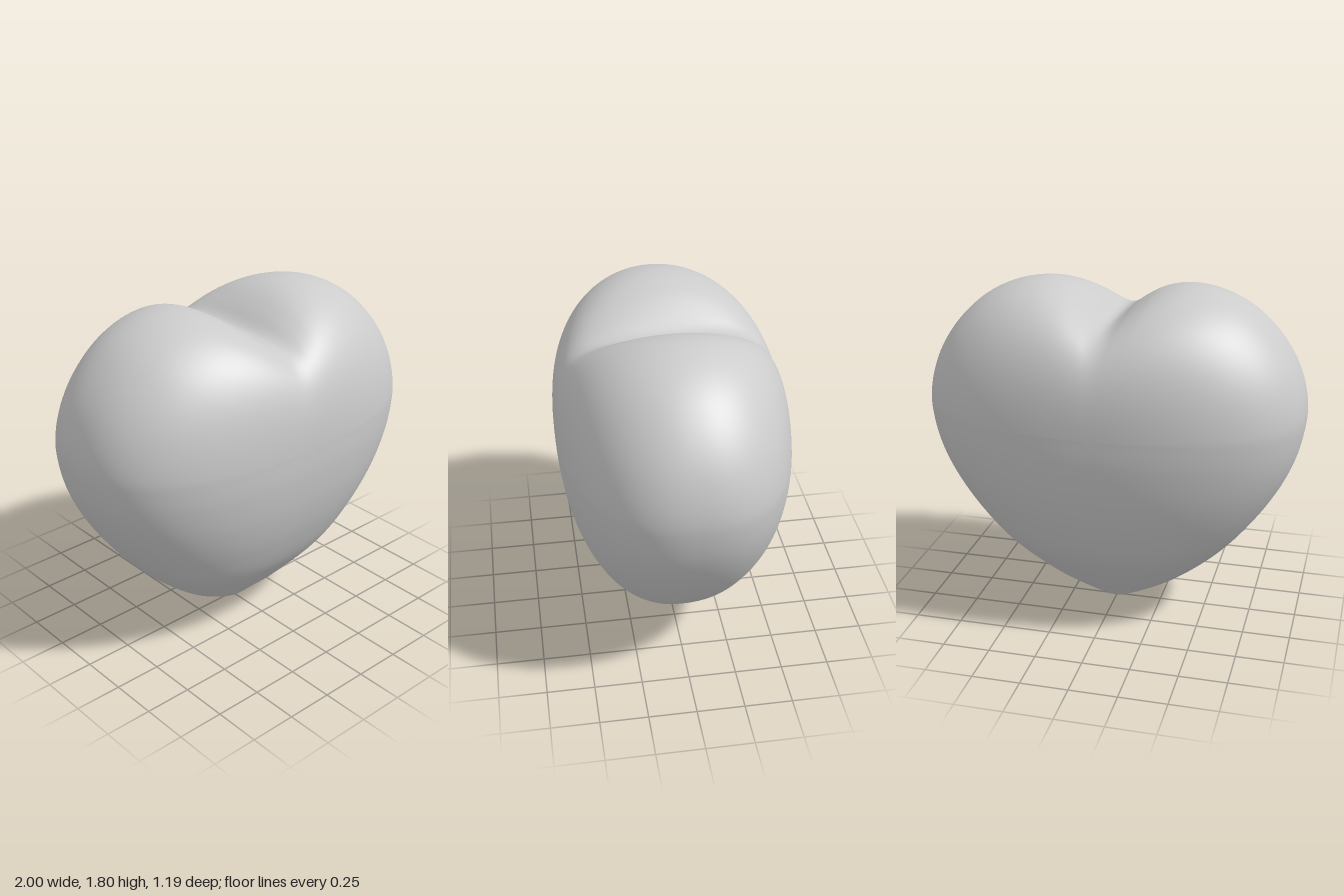
import * as THREE from 'three';

const CENTRE_Y = 1.15;
const HALF_DEPTH = 0.597;
const POWER = 2.4;
const AROUND = 240;
const RINGS = 96;

// Right half of the front outline, from the notch round to the tip
const frontHalf = [
  [0, 1.63], [0.04, 1.645], [0.12, 1.708], [0.23, 1.772], [0.365, 1.802], [0.53, 1.782],
  [0.69, 1.71], [0.82, 1.598], [0.92, 1.46], [0.977, 1.32], [0.999, 1.19], [0.992, 1.08],
  [0.96, 0.94], [0.89, 0.78], [0.77, 0.592], [0.61, 0.4], [0.385, 0.202], [0.2, 0.085],
  [0.05, 0.015], [0, 0],
];

// Half depth against height, from the tip up to the thickest level
const sideHalf = [
  [0, 0], [0.05, 0.02], [0.135, 0.1], [0.235, 0.2], [0.4, 0.4], [0.497, 0.6],
  [0.558, 0.8], [0.59, 1], [HALF_DEPTH, CENTRE_Y],
];

function outlinePoints() {
  const mirrored = frontHalf.slice(1, -1).reverse().map(([x, y]) => [-x, y]);
  const pts = [...frontHalf, ...mirrored].map(([x, y]) => new THREE.Vector3(x, y - CENTRE_Y, 0));
  const curve = new THREE.CatmullRomCurve3(pts, true, 'centripetal');
  curve.arcLengthDivisions = 1200;
  return curve.getSpacedPoints(AROUND).slice(0, AROUND);
}

// Distance from the axis at height y, for points listed upwards from the tip
function widthAt(points, y) {
  const i = Math.max(1, points.findIndex((p) => p.y >= y));
  const a = points[i - 1], b = points[i];
  const f = THREE.MathUtils.clamp((y - a.y) / (b.y - a.y), 0, 1);
  return Math.abs(THREE.MathUtils.lerp(a.x, b.x, f));
}

// Nested loops run from the front pole to the back pole
function heartGeometry() {
  const outline = outlinePoints();
  const rightSide = outline.slice(0, AROUND / 2 + 1).reverse();
  const depthCurve = new THREE.SplineCurve(sideHalf.map(([z, y]) => new THREE.Vector2(z, y - CENTRE_Y)));
  const depths = depthCurve.getPoints(160);

  // Lower part: rounded level sections tapering to the tip
  const lowerPoint = (p, t) => {
    const x = p.x * t, y = p.y * t;
    const q = Math.min(1, Math.abs(x) / Math.max(1e-6, widthAt(rightSide, y)));
    return [x, y, widthAt(depths, y) * Math.pow(1 - Math.pow(q, POWER), 1 / POWER)];
  };

  // Upper part: two lobes, with the notch fading out towards the front and back
  const upperPoint = (p, t) => {
    const r = p.length();
    const s = p.y / r;
    const smoothR = 1 - 0.05 * s - 0.23 * s * s;
    const k = (t * THREE.MathUtils.lerp(smoothR, r, t * t)) / r;
    return [p.x * k, p.y * k, HALF_DEPTH * Math.pow(1 - Math.pow(t, POWER), 1 / POWER + 0.1 * s)];
  };

  const positions = [];
  const index = [];
  for (let j = 0; j <= RINGS; j++) {
    const phi = (j / RINGS) * Math.PI;
    const t = Math.min(1, Math.sin(phi));
    const side = j === RINGS / 2 ? 0 : Math.sign(Math.cos(phi));
    for (const p of outline) {
      const [x, y, z] = p.y < 0 ? lowerPoint(p, t) : upperPoint(p, t);
      positions.push(x, y + CENTRE_Y, side * z);
    }
  }
  for (let j = 0; j < RINGS; j++) {
    for (let i = 0; i < AROUND; i++) {
      const n = (i + 1) % AROUND;
      const a = j * AROUND + i, b = j * AROUND + n;
      const c = a + AROUND, d = b + AROUND;
      if (j > 0) index.push(a, b, d);
      if (j < RINGS - 1) index.push(a, d, c);
    }
  }
  const geometry = new THREE.BufferGeometry();
  geometry.setAttribute('position', new THREE.Float32BufferAttribute(positions, 3));
  geometry.setIndex(index);
  geometry.computeVertexNormals();
  // Both poles face straight out
  const normal = geometry.attributes.normal;
  for (let i = 0; i < AROUND; i++) {
    normal.setXYZ(i, 0, 0, 1);
    normal.setXYZ(RINGS * AROUND + i, 0, 0, -1);
  }
  return geometry;
}

export function createModel() {
  const group = new THREE.Group();
  group.name = 'heart';
  const body = new THREE.Mesh(heartGeometry(), new THREE.MeshStandardMaterial({ color: 0xcccccc }));
  body.name = 'heartBody';
  group.add(body);
  return group;
}
